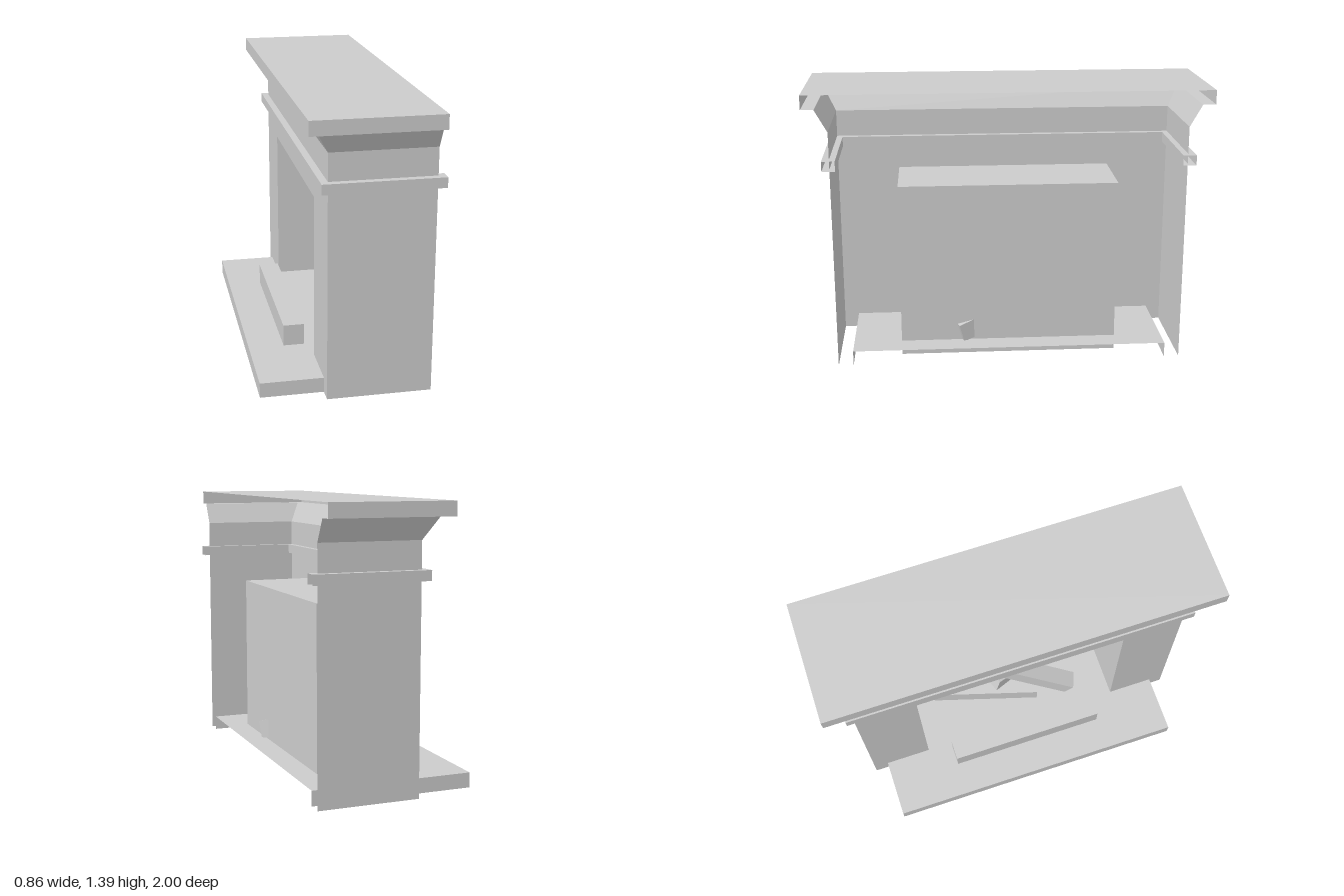
import * as THREE from 'three';

const material = new THREE.MeshStandardMaterial({ color: 0xcccccc, side: THREE.DoubleSide });

function part(parent, name, geometry) {
  const mesh = new THREE.Mesh(geometry, material);
  mesh.name = name;
  parent.add(mesh);
  return mesh;
}

// Carries a profile of [outset, y] points round three sides of a rectangle, open at the back (+x).
function wrap(frontX, backX, halfZ, profile) {
  const positions = [];
  const rings = profile.map(([out, y]) => [
    [backX, y, halfZ + out], [frontX - out, y, halfZ + out],
    [frontX - out, y, -halfZ - out], [backX, y, -halfZ - out],
  ]);
  for (let i = 0; i < rings.length - 1; i++) {
    for (let j = 0; j < 3; j++) {
      const a = rings[i][j], b = rings[i][j + 1], c = rings[i + 1][j + 1], d = rings[i + 1][j];
      positions.push(...a, ...c, ...b, ...a, ...d, ...c);
    }
  }
  const geometry = new THREE.BufferGeometry();
  geometry.setAttribute('position', new THREE.Float32BufferAttribute(positions, 3));
  geometry.computeVertexNormals();
  return geometry;
}

// Flat horizontal sheet facing up.
function sheet(x0, x1, halfZ, y) {
  return new THREE.PlaneGeometry(x1 - x0, halfZ * 2).rotateX(-Math.PI / 2).translate((x0 + x1) / 2, y, 0);
}

// Square log between two points.
function log(parent, name, from, to, size) {
  const a = new THREE.Vector3(...from), b = new THREE.Vector3(...to);
  const mesh = part(parent, name, new THREE.BoxGeometry(size, size, a.distanceTo(b)));
  mesh.position.copy(a).add(b).multiplyScalar(0.5);
  mesh.lookAt(b);
}

export function createModel() {
  const model = new THREE.Group();
  model.name = 'fireplace';

  const front = -0.12, back = 0.39, bodyZ = 0.875, bodyTop = 1.215;
  const openZ = 0.555, openTop = 0.905, boxBack = 0.27;

  // Surround: front panel with the opening cut out, and a wall on each side
  const panel = new THREE.Shape([
    [-bodyZ, 0], [-openZ, 0], [-openZ, openTop], [openZ, openTop],
    [openZ, 0], [bodyZ, 0], [bodyZ, bodyTop], [-bodyZ, bodyTop],
  ].map(([z, y]) => new THREE.Vector2(z, y)));
  part(model, 'frontPanel', new THREE.ShapeGeometry(panel).rotateY(-Math.PI / 2).translate(front, 0, 0));
  for (const side of [1, -1]) {
    const wall = new THREE.PlaneGeometry(back - front, bodyTop);
    if (side < 0) wall.rotateY(Math.PI);
    part(model, side > 0 ? 'frontSideWall' : 'backSideWall',
      wall.translate((front + back) / 2, bodyTop / 2, side * bodyZ));
  }

  // Trim band: a hollow square tube round the surround
  part(model, 'trimBand', wrap(front, 0.425, bodyZ,
    [[-0.03, 1.03], [0.035, 1.03], [0.035, 1.08], [-0.03, 1.08], [-0.03, 1.03]]));

  // Flared crown and mantel shelf
  part(model, 'crown', wrap(front, back, bodyZ, [[0, bodyTop], [0.062, 1.325]]));
  part(model, 'shelfEdge', wrap(-0.23, back, 1, [[-0.065, 1.325], [0, 1.325], [0, 1.395]]));
  part(model, 'shelfTop', sheet(-0.23, back, 1, 1.395));

  // Firebox: two sides, rear wall and ceiling, open towards the room
  const firebox = new THREE.Group();
  firebox.name = 'firebox';
  model.add(firebox);
  const depth = boxBack - front, midX = (boxBack + front) / 2;
  part(firebox, 'fireboxRear', new THREE.PlaneGeometry(openZ * 2, openTop)
    .rotateY(Math.PI / 2).translate(boxBack, openTop / 2, 0));
  part(firebox, 'fireboxCeiling', sheet(front, boxBack, openZ, openTop));
  for (const side of [1, -1]) {
    const wall = new THREE.PlaneGeometry(depth, openTop);
    if (side < 0) wall.rotateY(Math.PI);
    part(firebox, 'fireboxSide', wall.translate(midX, openTop / 2, side * openZ));
  }

  // Hearth slab, open underneath and at the rear
  part(model, 'hearthEdge', wrap(-0.43, back, 0.8, [[0, 0], [0, 0.075]]));
  part(model, 'hearthTop', sheet(-0.43, back, 0.8, 0.075));

  // Fender bar and the stacked logs
  part(model, 'fenderBar', new THREE.BoxGeometry(0.105, 0.11, 0.84).translate(-0.2, 0.13, 0));
  const logs = new THREE.Group();
  logs.name = 'logs';
  model.add(logs);
  log(logs, 'bottomLog', [0.2, 0.122, -0.42], [0.03, 0.122, 0.15], 0.095);
  log(logs, 'middleLog', [0.118, 0.22, -0.086], [0.25, 0.115, 0.26], 0.095);
  log(logs, 'topLog', [0.15, 0.36, -0.05], [0, 0.12, 0.34], 0.095);

  return model;
}
